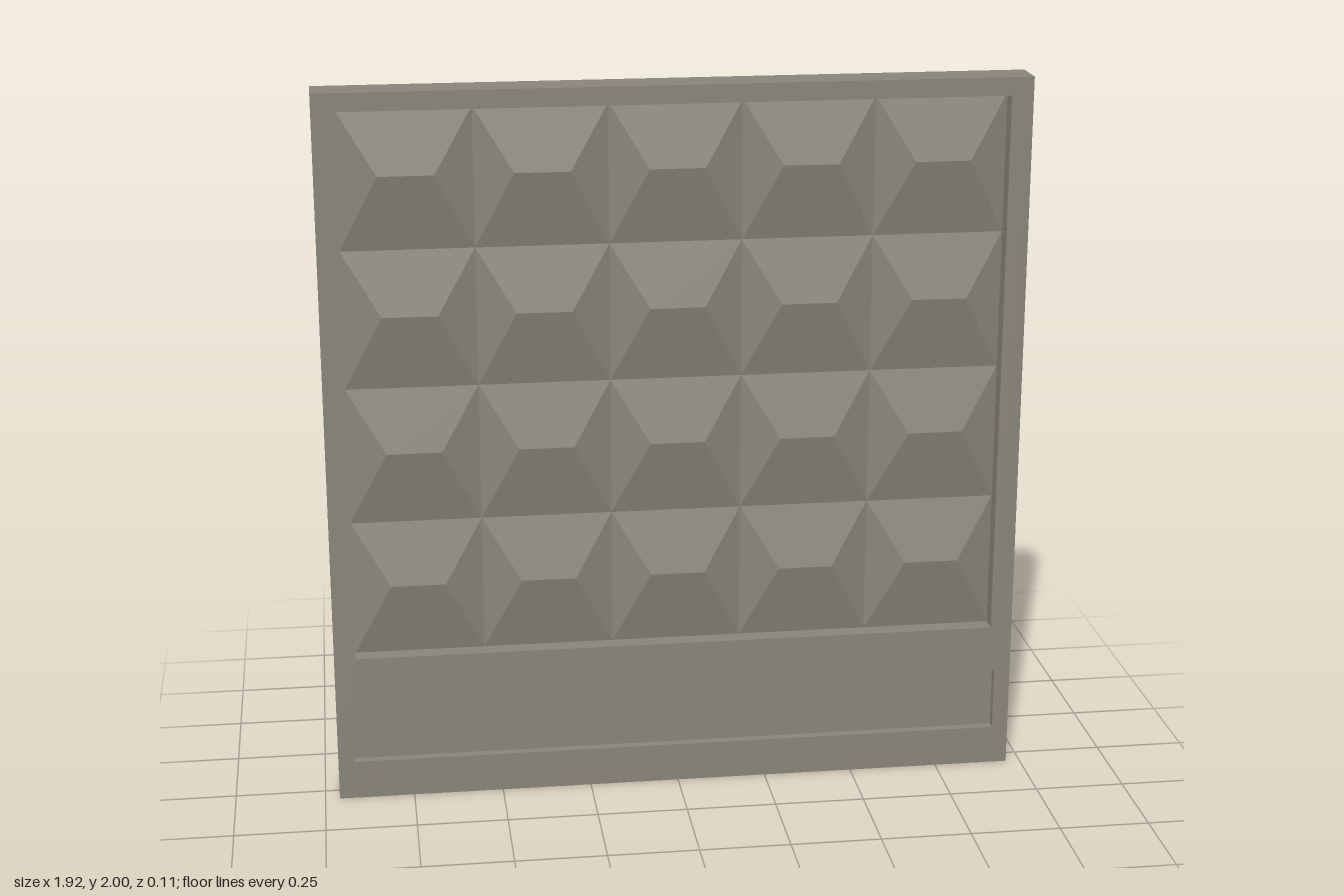
import * as THREE from 'three';

const W = 1.92, H = 2, T = 0.11;
const FIELD = { x0: -0.9, x1: 0.9, y0: 0.42, y1: 1.95 };
const PLINTH = { x0: -0.915, x1: 0.915, y0: 0.11, y1: 0.29 };
const COLS = 5, ROWS = 4;
const BASE_Z = 0.006, RIDGE_Z = 0.052;

function rectPath(path, { x0, x1, y0, y1 }) {
  path.moveTo(x0, y0);
  path.lineTo(x1, y0);
  path.lineTo(x1, y1);
  path.lineTo(x0, y1);
  path.closePath();
  return path;
}

// Grid of hipped studs, each with a short horizontal ridge
function studGeometry() {
  const pos = [];
  const tri = (...pts) => pts.forEach((p) => pos.push(...p));
  const quad = (a, b, c, d) => tri(a, b, c, a, c, d);
  const w = (FIELD.x1 - FIELD.x0) / COLS, h = (FIELD.y1 - FIELD.y0) / ROWS;
  for (let r = 0; r < ROWS; r++) {
    for (let c = 0; c < COLS; c++) {
      const x = FIELD.x0 + c * w, y = FIELD.y0 + r * h;
      const bl = [x, y, BASE_Z], br = [x + w, y, BASE_Z];
      const tr = [x + w, y + h, BASE_Z], tl = [x, y + h, BASE_Z];
      const ridgeY = y + h * 0.545;
      const left = [x + w / 2 - 0.075, ridgeY, RIDGE_Z];
      const right = [x + w / 2 + 0.075, ridgeY, RIDGE_Z];
      quad(bl, br, right, left);
      quad(tr, tl, left, right);
      tri(tl, bl, left);
      tri(br, tr, right);
    }
  }
  const geo = new THREE.BufferGeometry();
  geo.setAttribute('position', new THREE.Float32BufferAttribute(pos, 3));
  geo.computeVertexNormals();
  return geo;
}

export function createModel() {
  const model = new THREE.Group();
  model.name = 'concreteFencePanel';
  const concrete = new THREE.MeshStandardMaterial({ color: 0x88857b });
  concrete.name = 'concrete grey';

  const add = (name, geo) => {
    const mesh = new THREE.Mesh(geo, concrete);
    mesh.name = name;
    model.add(mesh);
    return mesh;
  };

  // Surrounding frame with the two openings
  const outline = rectPath(new THREE.Shape(), { x0: -W / 2, x1: W / 2, y0: 0, y1: H });
  outline.holes.push(rectPath(new THREE.Path(), FIELD), rectPath(new THREE.Path(), PLINTH));
  const frameGeo = new THREE.ExtrudeGeometry(outline, { depth: T, bevelEnabled: false });
  frameGeo.translate(0, 0, -T / 2);
  add('frame', frameGeo);

  // Shallow recessed strip at the bottom, closed on both sides
  const stripGeo = new THREE.BoxGeometry(PLINTH.x1 - PLINTH.x0, PLINTH.y1 - PLINTH.y0, 0.06);
  add('recessedStrip', stripGeo).position.y = (PLINTH.y0 + PLINTH.y1) / 2;

  // Stud relief on both sides
  const studs = studGeometry();
  add('frontStuds', studs);
  add('backStuds', studs).rotation.y = Math.PI;

  return model;
}
